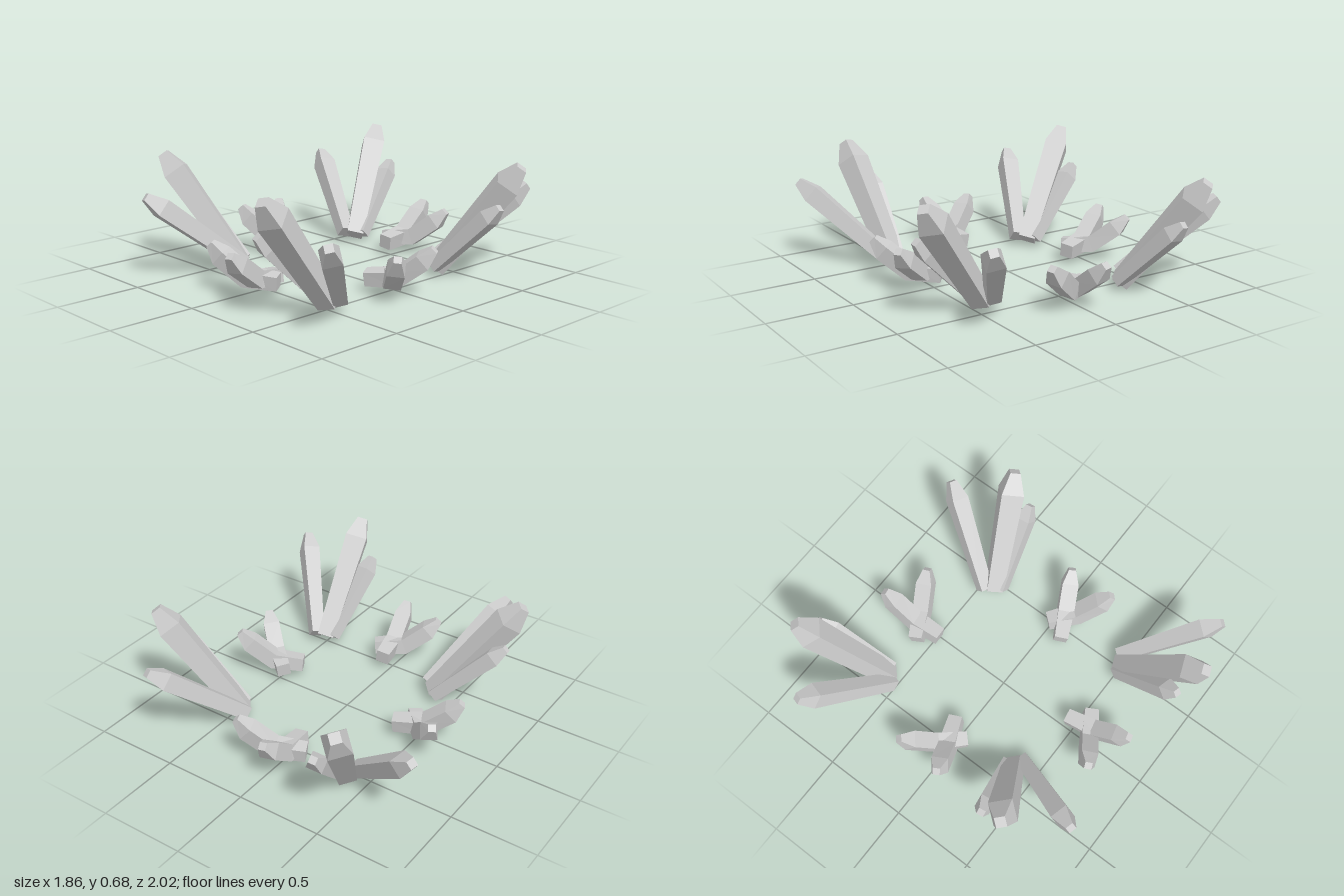
import * as THREE from 'three';

const material = new THREE.MeshStandardMaterial({ color: 0xcccccc, flatShading: true });

// Four-sided crystal: a square ring swept along a path, with flat end caps.
// Each ring is [x, y, z, radius]; roll turns the square about the path.
function crystalGeometry(rings, rollDegrees) {
  const sides = 4;
  const up = new THREE.Vector3(0, 1, 0);
  const points = rings.map(([x, y, z]) => new THREE.Vector3(x, y, z));
  const positions = [];
  const index = [];
  rings.forEach((ring, i) => {
    const before = points[Math.max(i - 1, 0)];
    const after = points[Math.min(i + 1, points.length - 1)];
    const axis = after.clone().sub(before).normalize();
    const side = up.clone().cross(axis).normalize();
    const normal = axis.clone().cross(side);
    for (let j = 0; j < sides; j++) {
      const angle = THREE.MathUtils.degToRad(rollDegrees + 45 + (j * 360) / sides);
      const p = points[i].clone()
        .addScaledVector(side, Math.cos(angle) * ring[3])
        .addScaledVector(normal, Math.sin(angle) * ring[3]);
      positions.push(p.x, p.y, p.z);
    }
  });
  for (let i = 0; i < rings.length - 1; i++) {
    for (let j = 0; j < sides; j++) {
      const a = i * sides + j;
      const b = i * sides + ((j + 1) % sides);
      index.push(a, b, b + sides, a, b + sides, a + sides);
    }
  }
  const last = (rings.length - 1) * sides;
  index.push(0, 2, 1, 0, 3, 2, last, last + 1, last + 2, last, last + 2, last + 3);
  const indexed = new THREE.BufferGeometry();
  indexed.setAttribute('position', new THREE.Float32BufferAttribute(positions, 3));
  indexed.setIndex(index);
  const geometry = indexed.toNonIndexed();
  geometry.computeVertexNormals();
  return geometry;
}

// Straight shard that widens to a shoulder and narrows to a blunt tip
function shard(base, tip, radius, roll) {
  const ring = (t, scale) => [
    ...base.map((v, k) => THREE.MathUtils.lerp(v, tip[k], t)),
    radius * scale,
  ];
  return crystalGeometry([ring(0, 0.75), ring(0.84, 1), ring(1, 0.45)], roll);
}

// Short shard that lies flat at its root and bends upward
function bentShard(x, z, headingDegrees, roll) {
  const a = THREE.MathUtils.degToRad(headingDegrees);
  const profile = [[0, 0.08, 0.057], [0.18, 0.095, 0.068], [0.325, 0.205, 0.068], [0.385, 0.27, 0.03]];
  const rings = profile.map(([d, y, r]) => [x + Math.cos(a) * d, y, z + Math.sin(a) * d, r]);
  return crystalGeometry(rings, roll);
}

// Places one copy of a cluster; heading runs from +x towards +z
function placeCluster(parts, name, [x, z, heading]) {
  const cluster = new THREE.Group();
  cluster.name = name;
  for (const [partName, geometry] of Object.entries(parts)) {
    const mesh = new THREE.Mesh(geometry, material);
    mesh.name = partName;
    cluster.add(mesh);
  }
  cluster.position.set(x, 0, z);
  cluster.rotation.y = -THREE.MathUtils.degToRad(heading);
  return cluster;
}

export function createModel() {
  const model = new THREE.Group();
  model.name = 'crystalRing';

  // Large cluster: three straight shards fanning out from one root
  const large = {
    tallShard: shard([0.04, 0.04, 0.02], [0.52, 0.66, 0], 0.094, 20),
    leaningShard: shard([0.01, 0.06, -0.03], [0.44, 0.485, -0.367], 0.073, 15),
    thinShard: shard([0.047, 0.05, 0.063], [0.444, 0.45, 0.123], 0.064, -12),
  };
  const largePlaces = {
    frontLeftCluster: [0.52, 0.45, 87],
    frontRightCluster: [-0.33, 0.36, 154],
    backLeftCluster: [0.4, -0.42, -20],
    backRightCluster: [-0.38, -0.52, -116],
  };

  // Small cluster: two bent shards crossing at their roots
  const small = {
    bentShard: bentShard(0, 0, 0, 8),
    crossingShard: bentShard(0.106, -0.095, 67, -8),
  };
  const smallPlaces = {
    frontSprout: [0.04, 0.44, 81],
    leftSprout: [0.405, 0.12, -27],
    rightSprout: [-0.365, -0.07, 158],
    backSprout: [-0.02, -0.47, -94],
  };

  for (const [name, place] of Object.entries(largePlaces)) model.add(placeCluster(large, name, place));
  for (const [name, place] of Object.entries(smallPlaces)) model.add(placeCluster(small, name, place));
  return model;
}
